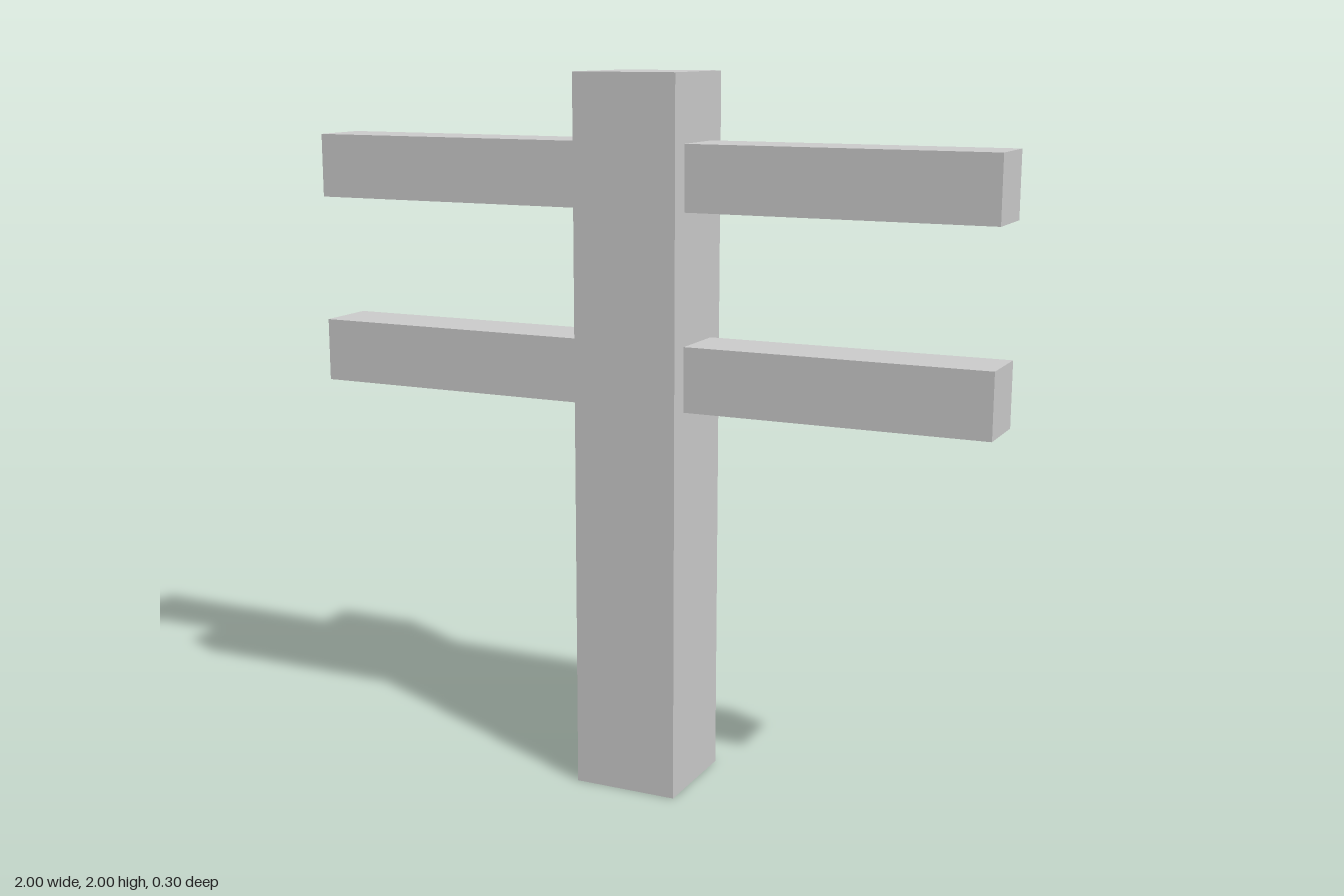
import * as THREE from 'three';

const POST = 0.3;   // post width
const ARM = 0.18;   // arm thickness

export function createModel() {
  const model = new THREE.Group();
  const grey = new THREE.MeshStandardMaterial({ color: 0xcccccc, flatShading: true });
  const greyOpen = grey.clone();
  greyOpen.side = THREE.DoubleSide;

  // Hollow post: a box without its underside (fourth face, indices 18 to 23)
  const postGeometry = new THREE.BoxGeometry(POST, 2, POST);
  const index = Array.from(postGeometry.index.array);
  index.splice(18, 6);
  postGeometry.setIndex(index);
  postGeometry.clearGroups();
  const post = new THREE.Mesh(postGeometry, greyOpen);
  post.name = 'post';
  post.position.y = 1;
  model.add(post);

  // Two pairs of arms reaching out from the post's sides
  const length = 1 - POST / 2;
  const armGeometry = new THREE.BoxGeometry(length, ARM, ARM);
  for (const [level, y] of [['lower', 1.185], ['upper', 1.725]]) {
    for (const [side, sign] of [['Left', 1], ['Right', -1]]) {
      const arm = new THREE.Mesh(armGeometry, grey);
      arm.name = `${level}${side}Arm`;
      arm.position.set(sign * (POST + length) / 2, y, 0);
      model.add(arm);
    }
  }
  return model;
}
